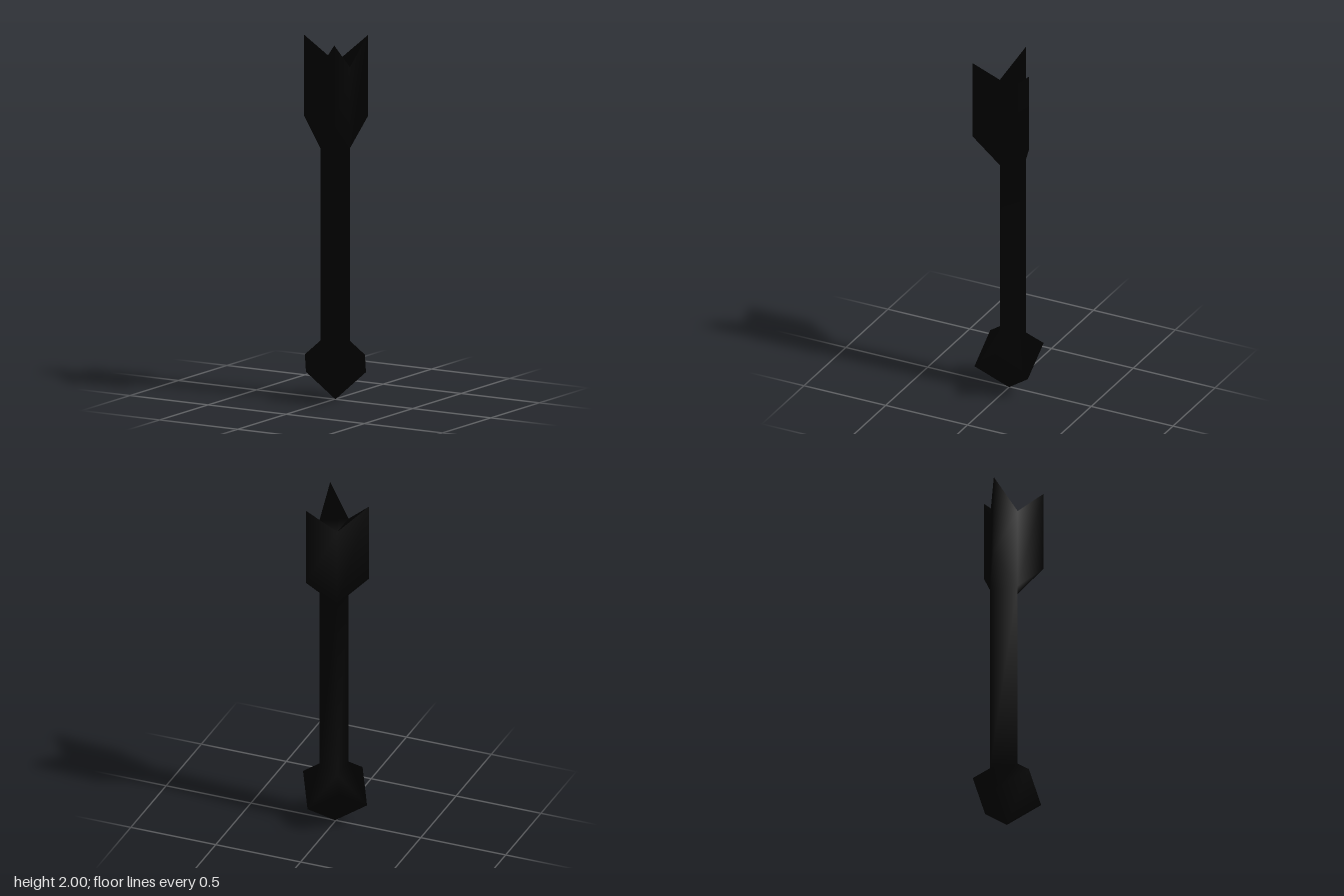
import * as THREE from 'three';

const CENTRE_X = 0.005;

export function createModel() {
  const black = new THREE.MeshStandardMaterial({ color: 0x000000 });
  black.name = 'black';

  const positions = [];
  const point = (degrees, radius, y) => {
    const a = THREE.MathUtils.degToRad(degrees);
    positions.push(CENTRE_X + radius * Math.cos(a), y, radius * Math.sin(a));
    return positions.length / 3 - 1;
  };
  // Three points spaced evenly around the axis
  const ring = (start, radius, y) => [0, 1, 2].map((k) => point(start + k * 120, radius, y));

  const tip = point(0, 0, 0);
  const headLow = ring(60, 0.1886, 0.133);
  const headHigh = ring(0, 0.1886, 0.267);
  const shaftBase = ring(0, 0.0925, 0.334);
  const shaftTop = ring(0, 0.0925, 1.4);
  const notch = ring(0, 0.0925, 1.85);
  const finLow = ring(60, 0.2, 1.55);
  const finHigh = ring(60, 0.2, 2);

  // Convex polygons, fanned into triangles
  const faces = { head: [], shaft: [], fletching: [] };
  const face = (part, ...ids) => {
    for (let i = 1; i < ids.length - 1; i++) faces[part].push(ids[0], ids[i], ids[i + 1]);
  };
  for (let k = 0; k < 3; k++) {
    const n = (k + 1) % 3;
    // Cube head standing on its corner, cut off where the shaft meets it
    face('head', tip, headLow[k], headHigh[n], headLow[n]);
    face('head', headLow[k], headHigh[k], shaftBase[k], shaftBase[n], headHigh[n]);
    // Triangular shaft
    face('shaft', shaftBase[n], shaftBase[k], shaftTop[k], shaftTop[n]);
    // Wedge-shaped fin: underside, two sides, sloping top
    face('fletching', shaftTop[n], shaftTop[k], finLow[k]);
    face('fletching', finLow[k], shaftTop[k], notch[k], finHigh[k]);
    face('fletching', shaftTop[n], finLow[k], finHigh[k], notch[n]);
    face('fletching', notch[k], notch[n], finHigh[k]);
  }
  face('fletching', notch[0], notch[2], notch[1]);

  // Smooth normals run across the joints between the parts
  const whole = new THREE.BufferGeometry();
  whole.setAttribute('position', new THREE.Float32BufferAttribute(positions, 3));
  whole.setIndex(Object.values(faces).flat());
  whole.computeVertexNormals();

  const group = new THREE.Group();
  group.name = 'arrow';
  for (const [name, index] of Object.entries(faces)) {
    const geometry = whole.clone();
    geometry.setIndex(index);
    const mesh = new THREE.Mesh(geometry, black);
    mesh.name = name;
    group.add(mesh);
  }
  return group;
}
